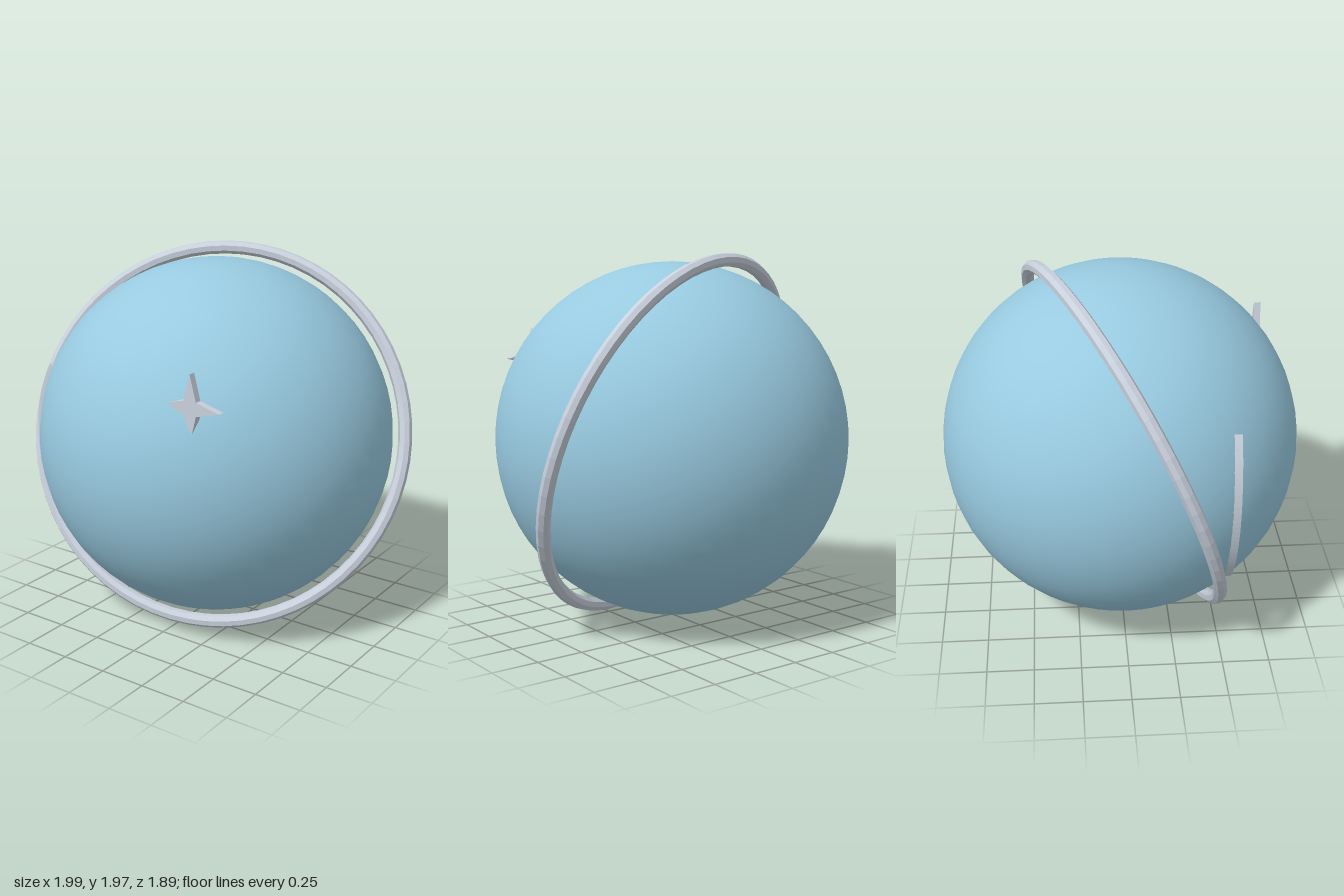
import * as THREE from 'three';

export function createModel() {
  const group = new THREE.Group();
  const blue = new THREE.MeshStandardMaterial({ color: 0x98cae0 });
  blue.name = 'paleBlue';
  const silver = new THREE.MeshStandardMaterial({ color: 0xc8d0dc, flatShading: true });
  silver.name = 'silver';

  const add = (name, geometry, material, x, y, z) => {
    const mesh = new THREE.Mesh(geometry, material);
    mesh.name = name;
    mesh.position.set(x, y, z);
    group.add(mesh);
    return mesh;
  };
  const centreY = 0.997;

  // Globe
  add('globe', new THREE.SphereGeometry(0.947, 48, 32), blue, 0, centreY, 0);

  // Tilted orbit ring
  const ring = add('orbitRing', new THREE.TorusGeometry(1.014, 0.036, 8, 64), silver, 0, centreY, 0);
  const normal = new THREE.Vector3(0.32, 0.343, 0.883).normalize();
  ring.quaternion.setFromUnitVectors(new THREE.Vector3(0, 0, 1), normal);

  // Four-pointed sparkle, partly sunk into the globe
  const star = new THREE.Shape();
  for (let i = 0; i < 8; i++) {
    const r = i % 2 ? 0.048 : 0.163;
    const a = (i * Math.PI) / 4;
    star[i ? 'lineTo' : 'moveTo'](r * Math.cos(a), r * Math.sin(a));
  }
  star.closePath();
  add('sparkle', new THREE.ExtrudeGeometry(star, { depth: 0.036, bevelEnabled: false }),
    silver, 0.406, 1.406, 0.763);

  // Curved highlight strip, concentric with the globe
  const arc = new THREE.Shape();
  const start = THREE.MathUtils.degToRad(150);
  const end = THREE.MathUtils.degToRad(220);
  arc.absarc(0, 0, 0.8, start, end, false);
  arc.absarc(0, 0, 0.768, end, start, true);
  arc.closePath();
  add('highlightStrip',
    new THREE.ExtrudeGeometry(arc, { depth: 0.044, bevelEnabled: false, curveSegments: 16 }),
    silver, 0, centreY, 0.498);

  return group;
}
